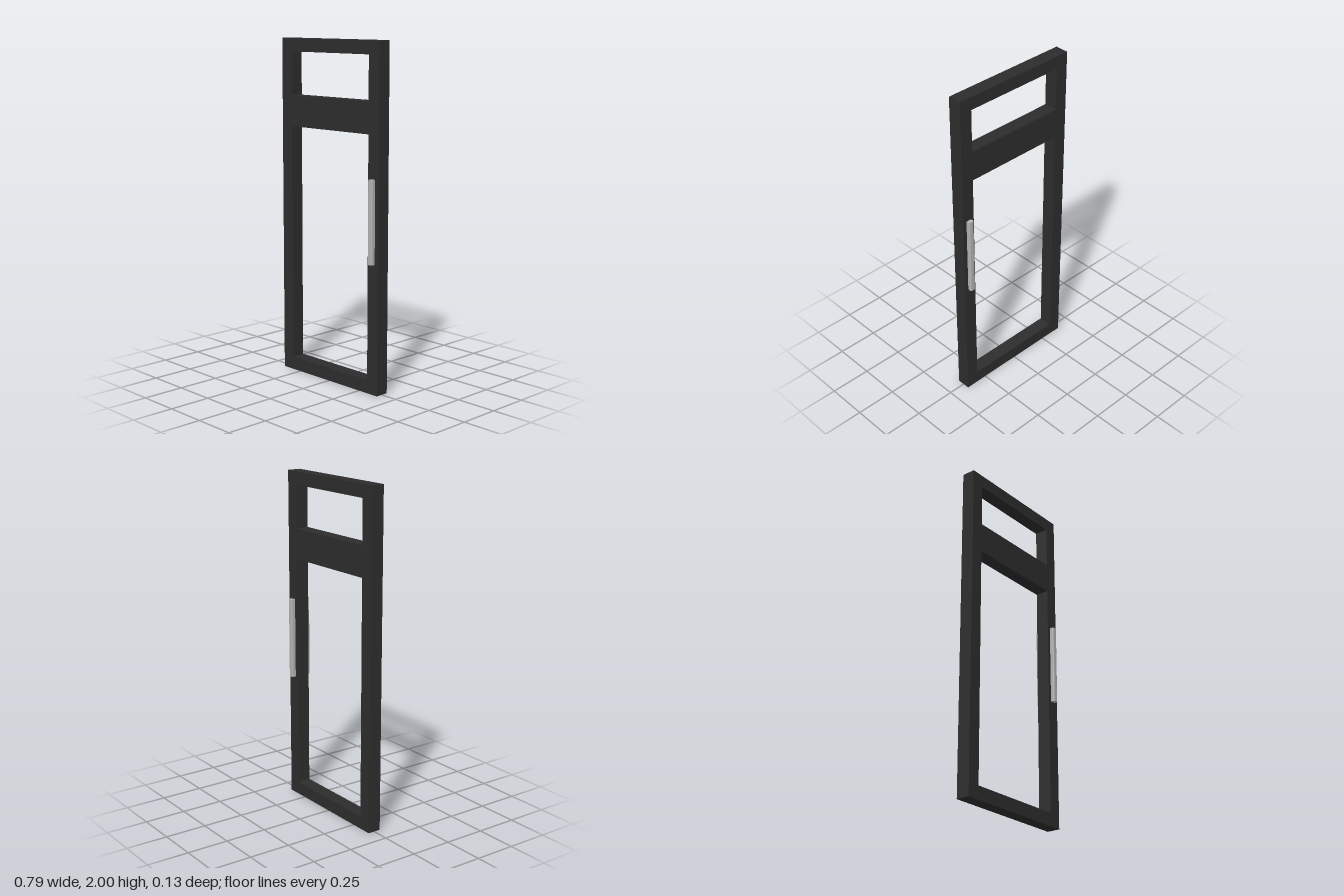
import * as THREE from 'three';

const WIDTH = 0.787, HEIGHT = 2, DEPTH = 0.081;

// Closed rectangular outline, used for the frame and its openings
function rectangle(Type, x0, y0, x1, y1) {
  return new Type([[x0, y0], [x1, y0], [x1, y1], [x0, y1]].map(([x, y]) => new THREE.Vector2(x, y)));
}

export function createModel() {
  const frameMaterial = new THREE.MeshStandardMaterial({ color: 0x2d2d2d });
  frameMaterial.name = 'darkFrame';
  const handleMaterial = new THREE.MeshStandardMaterial({ color: 0xb2b2b2 });
  handleMaterial.name = 'brushedMetal';

  const door = new THREE.Group();
  door.name = 'door';

  // Door frame with a tall lower opening and a short upper opening
  const outline = rectangle(THREE.Shape, -WIDTH / 2, 0, WIDTH / 2, HEIGHT);
  outline.holes.push(
    rectangle(THREE.Path, -0.315, 0.078, 0.315, 1.487),
    rectangle(THREE.Path, -0.315, 1.668, 0.315, 1.923)
  );
  const frameGeometry = new THREE.ExtrudeGeometry(outline, { depth: DEPTH, bevelEnabled: false });
  frameGeometry.translate(0, 0, -DEPTH / 2);
  const frame = new THREE.Mesh(frameGeometry, frameMaterial);
  frame.name = 'doorFrame';
  door.add(frame);

  // Pull bar: a section with two rounded outer corners, extruded upwards
  const half = 0.017, inner = 0.039, outer = 0.065, r = 0.008;
  const section = new THREE.Shape();
  section.moveTo(-half, inner);
  section.lineTo(half, inner);
  section.lineTo(half, outer - r);
  section.absarc(half - r, outer - r, r, 0, Math.PI / 2);
  section.lineTo(-half + r, outer);
  section.absarc(-half + r, outer - r, r, Math.PI / 2, Math.PI);
  section.closePath();
  const handleGeometry = new THREE.ExtrudeGeometry(section, { depth: 0.48, bevelEnabled: false, curveSegments: 3 });
  handleGeometry.rotateX(-Math.PI / 2);

  // The same bar on both faces of the door
  for (const [name, turn] of [['backHandle', 0], ['frontHandle', Math.PI]]) {
    const handle = new THREE.Mesh(handleGeometry, handleMaterial);
    handle.name = name;
    handle.position.set(0.352, 0.76, 0);
    handle.rotation.y = turn;
    door.add(handle);
  }

  return door;
}
